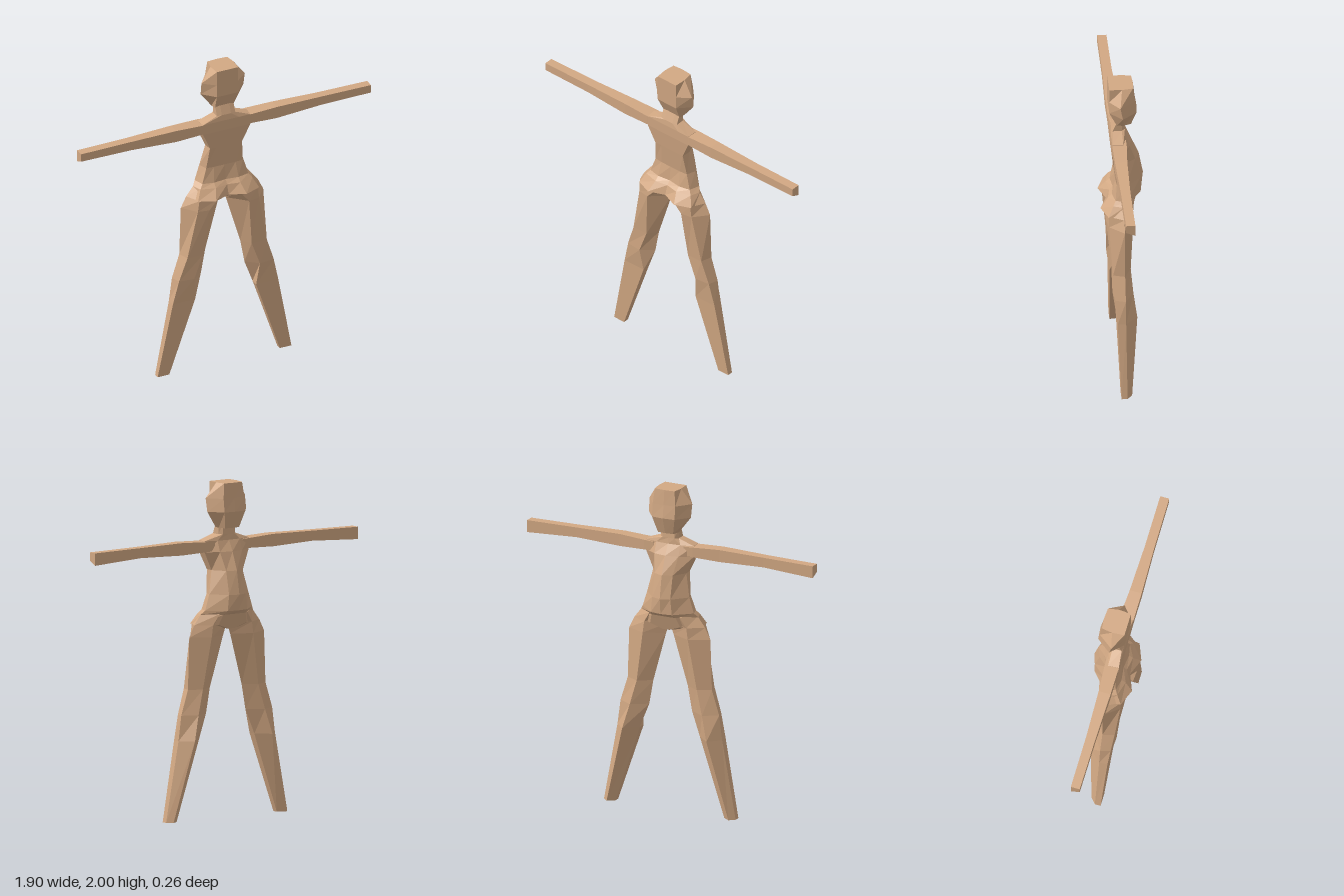
import * as THREE from 'three';

const skin = new THREE.MeshStandardMaterial({ color: 0xd2a883, flatShading: true });

// Skin a list of equal-length point rings and close both ends.
function loft(name, rings) {
  const n = rings[0].length, verts = [];
  const tri = (a, b, c) => verts.push(...a, ...b, ...c);
  for (let r = 0; r < rings.length - 1; r++) {
    for (let i = 0; i < n; i++) {
      const j = (i + 1) % n, a = rings[r], b = rings[r + 1];
      tri(a[i], a[j], b[j]);
      tri(a[i], b[j], b[i]);
    }
  }
  const first = rings[0], last = rings[rings.length - 1];
  for (let i = 1; i < n - 1; i++) {
    tri(first[0], first[i + 1], first[i]);
    tri(last[0], last[i], last[i + 1]);
  }
  const geo = new THREE.BufferGeometry();
  geo.setAttribute('position', new THREE.Float32BufferAttribute(verts, 3));
  geo.computeVertexNormals();
  const mesh = new THREE.Mesh(geo, skin);
  mesh.name = name;
  return mesh;
}

// Level ring from its left half, listed front centre to back centre as [x, z].
function symmetricRing(y, half) {
  const left = half.map(([x, z]) => [x, y, z]);
  const right = half.slice(1, -1).reverse().map(([x, z]) => [-x, y, z]);
  return [...left, ...right];
}

const levelRing = (y, pts) => pts.map(([x, z]) => [x, y, z]);
const mirrored = (rings) => rings.map((ring) => ring.map(([x, y, z]) => [-x, y, z]).reverse());

export function createModel() {
  const model = new THREE.Group();
  model.name = 'figure';

  // Torso, from the crotch up through the neck
  model.add(loft('torso', [
    symmetricRing(1.13, [[0, 0.05], [0.02, 0.05], [0.035, 0.03], [0.035, 0], [0.02, -0.05], [0, -0.05]]),
    symmetricRing(1.16, [[0, 0.09], [0.1, 0.13], [0.2, 0.09], [0.21, 0], [0.1, -0.06], [0, -0.06]]),
    symmetricRing(1.22, [[0, 0.07], [0.08, 0.085], [0.17, 0.06], [0.19, 0], [0.08, -0.08], [0, -0.08]]),
    symmetricRing(1.245, [[0, 0.05], [0.08, 0.06], [0.15, 0.045], [0.17, -0.02], [0.07, -0.11], [0, -0.12]]),
    symmetricRing(1.34, [[0, 0.04], [0.07, 0.04], [0.12, 0.035], [0.14, -0.02], [0.06, -0.11], [0, -0.13]]),
    symmetricRing(1.48, [[0, 0.055], [0.06, 0.055], [0.105, 0.055], [0.11, 0], [0.06, -0.08], [0, -0.105]]),
    symmetricRing(1.59, [[0, 0.065], [0.08, 0.065], [0.155, 0.065], [0.16, 0], [0.08, -0.045], [0, -0.06]]),
    symmetricRing(1.655, [[0, 0.065], [0.08, 0.065], [0.155, 0.065], [0.16, 0], [0.08, -0.02], [0, -0.025]]),
    symmetricRing(1.69, [[0, 0.06], [0.03, 0.06], [0.06, 0.055], [0.06, 0], [0.04, -0.02], [0, -0.02]]),
    symmetricRing(1.75, [[0, 0.035], [0.03, 0.035], [0.06, 0.03], [0.06, 0], [0.04, -0.015], [0, -0.015]]),
  ]));

  // Faceted head
  model.add(loft('head', [
    symmetricRing(1.73, [[0, 0.03], [0.06, 0.03], [0.065, -0.01], [0.05, -0.055], [0, -0.06]]),
    symmetricRing(1.83, [[0, 0.075], [0.07, 0.075], [0.14, 0], [0.075, -0.085], [0, -0.092]]),
    symmetricRing(1.91, [[0, 0.075], [0.07, 0.075], [0.142, 0.015], [0.075, -0.075], [0, -0.08]]),
    symmetricRing(2.0, [[0, 0.075], [0.07, 0.075], [0.075, 0], [0.065, -0.065], [0, -0.07]]),
  ]));

  // Arms: four-sided sections [x, top, front bottom, back bottom, front z, back z]
  const arm = [
    [0.1, 1.65, 1.595, 1.595, 0.06, -0.02],
    [0.16, 1.653, 1.593, 1.593, 0.065, -0.02],
    [0.33, 1.66, 1.586, 1.586, 0.065, -0.008],
    [0.62, 1.654, 1.598, 1.594, 0.057, 0],
    [0.95, 1.65, 1.6, 1.576, 0.055, 0],
  ].map(([x, top, fb, bb, f, b]) => [[x, top, b], [x, top, f], [x, fb, f], [x, bb, b]].reverse());
  // Points run so that the faces look outwards along +x
  const armRings = arm.map((ring) => ring.slice().reverse());
  const area = (r) => r.reduce((s, p, i) => {
    const q = r[(i + 1) % r.length];
    return s + p[1] * q[2] - q[1] * p[2];
  }, 0);
  const leftArm = area(armRings[0]) > 0 ? armRings : arm;
  model.add(loft('leftArm', leftArm), loft('rightArm', mirrored(leftArm)));

  // Legs: front inner, front outer, outer side, back ridge, inner side
  const leg = [
    levelRing(0, [[0.362, 0.035], [0.438, 0.035], [0.438, 0], [0.405, -0.03], [0.362, 0]]),
    levelRing(0.48, [[0.2, 0.05], [0.345, 0.05], [0.348, 0], [0.28, -0.072], [0.2, 0]]),
    levelRing(0.63, [[0.215, 0.07], [0.31, 0.06], [0.328, 0], [0.24, -0.052], [0.142, 0.01]]),
    levelRing(0.78, [[0.16, 0.072], [0.26, 0.07], [0.28, 0], [0.2, -0.04], [0.115, 0.01]]),
    levelRing(1.09, [[0.13, 0.1], [0.2, 0.088], [0.27, 0], [0.15, -0.06], [0.025, 0]]),
    levelRing(1.16, [[0.07, 0.105], [0.19, 0.088], [0.235, 0], [0.14, -0.06], [0, 0]]),
    levelRing(1.225, [[0.06, 0.06], [0.16, 0.055], [0.185, 0], [0.1, -0.07], [0, 0]]),
  ];
  model.add(loft('leftLeg', leg), loft('rightLeg', mirrored(leg)));

  return model;
}
